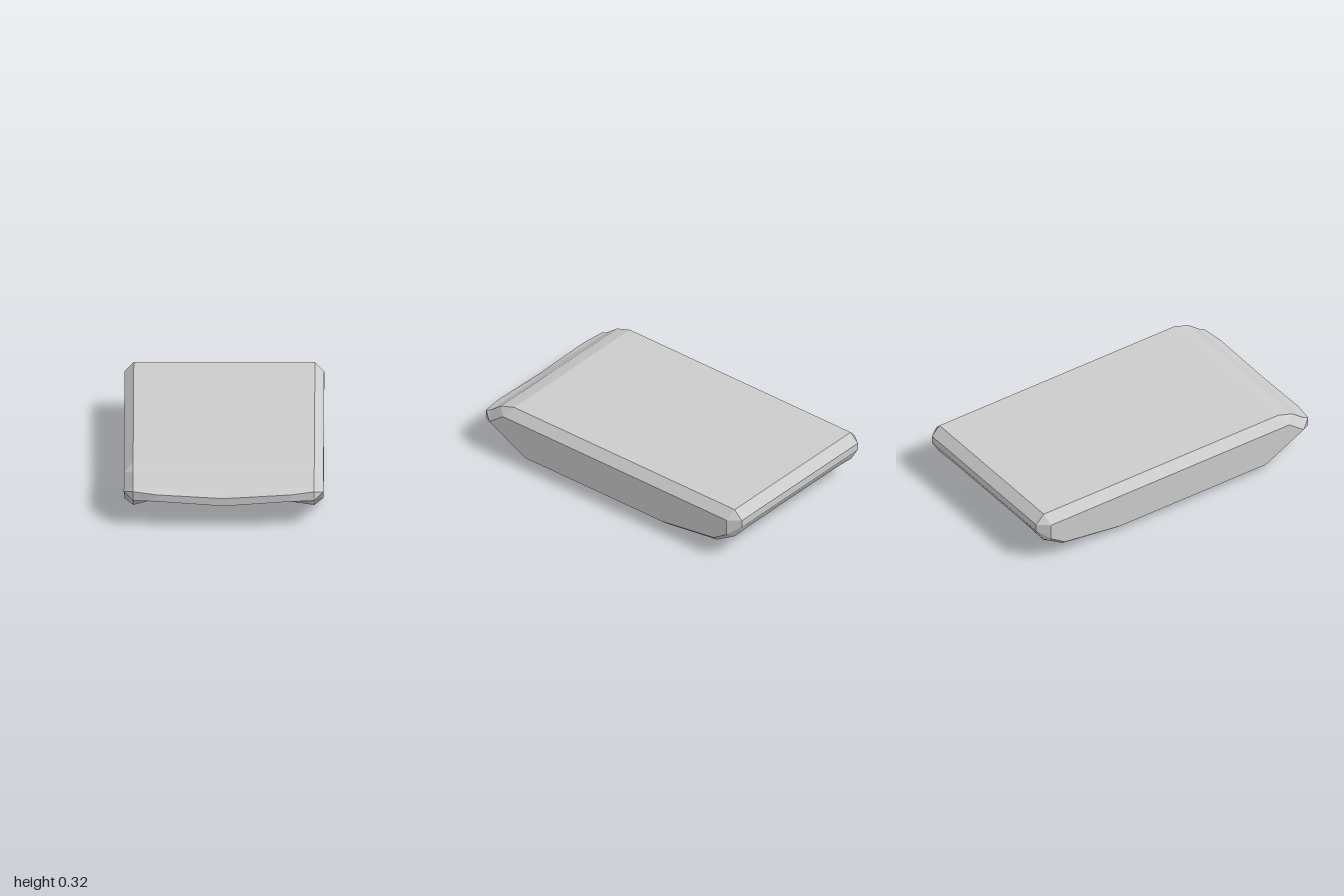
import * as THREE from 'three';

// Side profiles as [z, y], running: bottom front, bottom rear, up the back, along the top, down to the lip
const cap = [[0.62, 0.045], [-0.43, 0.045], [-0.83, 0.1], [-0.93, 0.165], [-0.93, 0.165], [-0.93, 0.265], [-0.93, 0.265],
  [0.79, 0.265], [0.79, 0.265], [0.895, 0.185], [0.895, 0.185], [0.895, 0.185]];
const edge = [[0.62, 0], [-0.44, 0], [-0.81, 0.05], [-0.95, 0.135], [-1, 0.22], [-1, 0.265], [-0.945, 0.32],
  [0.75, 0.32], [0.85, 0.287], [0.93, 0.225], [0.965, 0.21], [0.965, 0.155]];

// Inner profile: the edge profile with a raised underside and its own front lip
function inner(rise, lipZ, lipTop, lipBottom) {
  const p = edge.map(([z, y]) => [z, y]);
  p[0][1] += rise;
  p[1][1] += rise;
  p[2][1] += rise * 0.6;
  p[3][1] += rise * 0.2;
  p[10] = [lipZ, lipTop];
  p[11] = [lipZ, lipBottom];
  return p;
}

// Cross-sections from the middle outwards, mirrored to both sides
const half = [
  [0, inner(0.04, 1, 0.18, 0.133)],
  [0.4, inner(0.035, 0.99, 0.2, 0.158)],
  [0.535, edge],
  [0.59, cap],
];
const sections = [...half.slice(1).reverse().map(([x, p]) => [-x, p]), ...half];

function loft(list) {
  const rings = list.map(([x, p]) => p.map(([z, y]) => new THREE.Vector3(x, y, z)));
  const n = rings[0].length;
  const pos = [];
  const tri = (a, b, c) => {
    // skip triangles collapsed at the chamfer corners
    if (new THREE.Triangle(a, b, c).getArea() < 1e-7) return;
    for (const v of [a, b, c]) pos.push(v.x, v.y, v.z);
  };
  for (let s = 0; s < rings.length - 1; s++) {
    for (let i = 0; i < n; i++) {
      const j = (i + 1) % n;
      tri(rings[s][i], rings[s][j], rings[s + 1][j]);
      tri(rings[s][i], rings[s + 1][j], rings[s + 1][i]);
    }
  }
  // flat side faces
  const first = rings[0], last = rings[rings.length - 1];
  for (let i = 1; i < n - 1; i++) {
    tri(last[0], last[i], last[i + 1]);
    tri(first[0], first[i + 1], first[i]);
  }
  const g = new THREE.BufferGeometry();
  g.setAttribute('position', new THREE.Float32BufferAttribute(pos, 3));
  g.computeVertexNormals();
  return g;
}

export function createModel() {
  const group = new THREE.Group();
  const slab = new THREE.Mesh(loft(sections), new THREE.MeshStandardMaterial({ color: 0xcccccc, flatShading: true }));
  slab.name = 'bevelledSlab';
  group.add(slab);
  return group;
}
